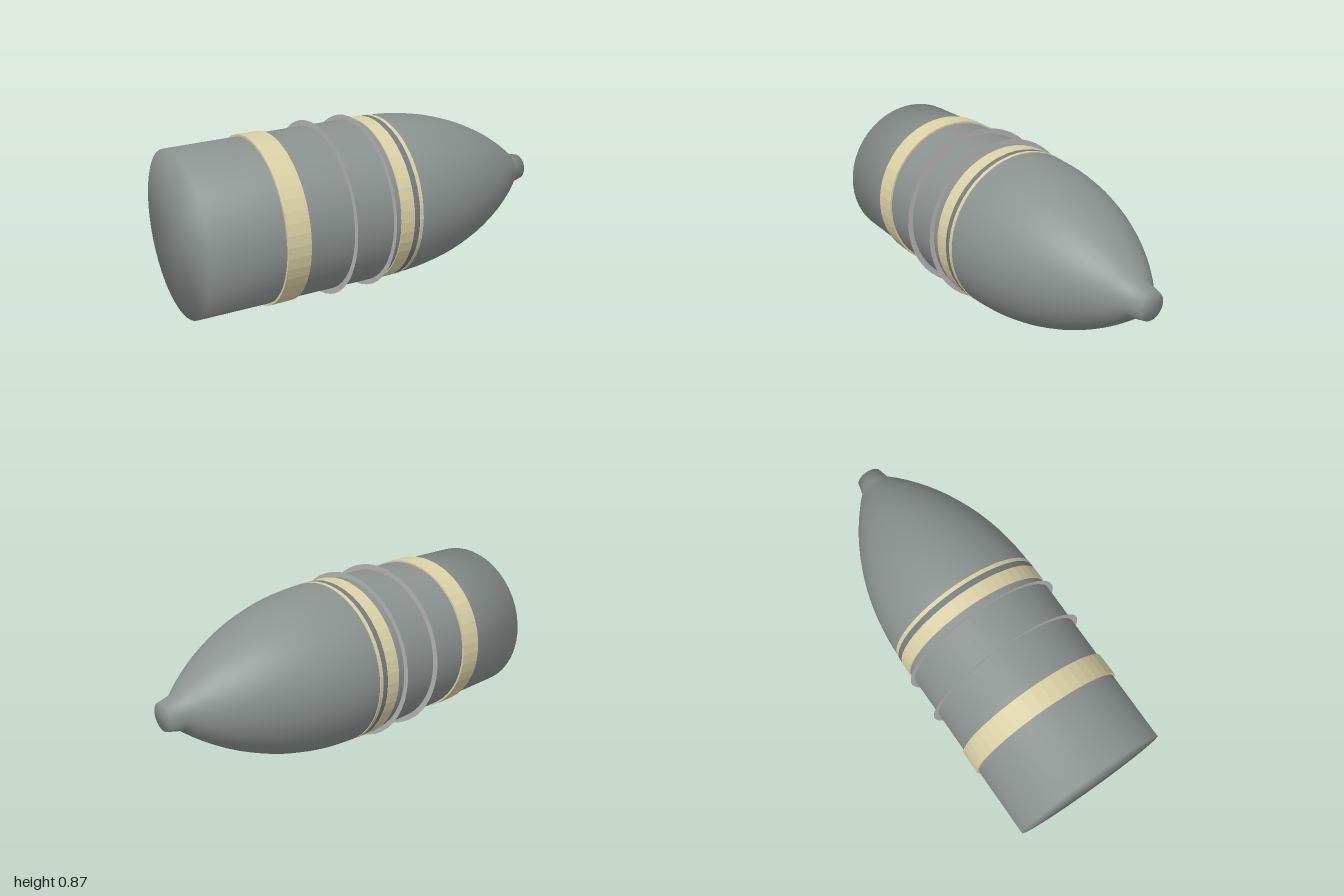
import * as THREE from 'three';

const SIDES = 48;
const AXIS_Y = 0.433;

const grey = new THREE.MeshStandardMaterial({ color: 0x8a918e });
grey.name = 'shell grey';
const cream = new THREE.MeshStandardMaterial({ color: 0xd9d0a5 });
cream.name = 'band cream';
const darkGrey = new THREE.MeshStandardMaterial({ color: 0x747c7d });
darkGrey.name = 'groove grey';
const silver = new THREE.MeshStandardMaterial({ color: 0xb5b3b5, side: THREE.DoubleSide });
silver.name = 'ring silver';

// Revolve [x, radius] pairs around the long axis, rear to nose
function revolve(profile) {
  const points = profile.map(([x, r]) => new THREE.Vector2(r, x));
  return new THREE.LatheGeometry(points, SIDES).rotateZ(-Math.PI / 2);
}

export function createModel() {
  const model = new THREE.Group();
  model.name = 'artilleryShell';

  function add(name, geometry, material, x = 0) {
    const mesh = new THREE.Mesh(geometry, material);
    mesh.name = name;
    mesh.position.set(x, AXIS_Y, 0);
    model.add(mesh);
  }

  // Body: flat base, slightly flaring wall, circular-arc nose, small flared-in tip
  const profile = [[-1, 0], [-1, 0.395], [-0.5, 0.402], [0, 0.409]];
  const start = 0.07, end = 0.93, rBase = 0.41, rEnd = 0.085;
  const length = end - start, drop = rBase - rEnd;
  const arc = (length * length + drop * drop) / (2 * drop);
  for (let i = 0; i <= 16; i++) {
    const d = (length * i) / 16;
    profile.push([start + d, rBase - arc + Math.sqrt(arc * arc - d * d)]);
  }
  profile.push([1, 0.068], [1, 0]);
  add('body', revolve(profile), grey);

  // Faceted bands wrapped around the body
  const bands = [
    ['rearBand', -0.645, -0.53, 0.411, cream],
    ['frontBand', -0.055, 0.02, 0.413, cream],
    ['grooveBand', 0.02, 0.05, 0.412, darkGrey],
    ['thinBand', 0.05, 0.07, 0.413, cream],
  ];
  for (const [name, a, b, r, material] of bands) {
    const geometry = revolve([[a, 0.39], [a, r], [b, r], [b, 0.39]]).toNonIndexed();
    geometry.computeVertexNormals();
    add(name, geometry, material);
  }

  // Paper-thin collars standing out from the wall
  for (const [name, x] of [['rearCollar', -0.305], ['frontCollar', -0.095]]) {
    add(name, new THREE.RingGeometry(0.4, 0.433, SIDES).rotateY(Math.PI / 2), silver, x);
  }

  return model;
}
